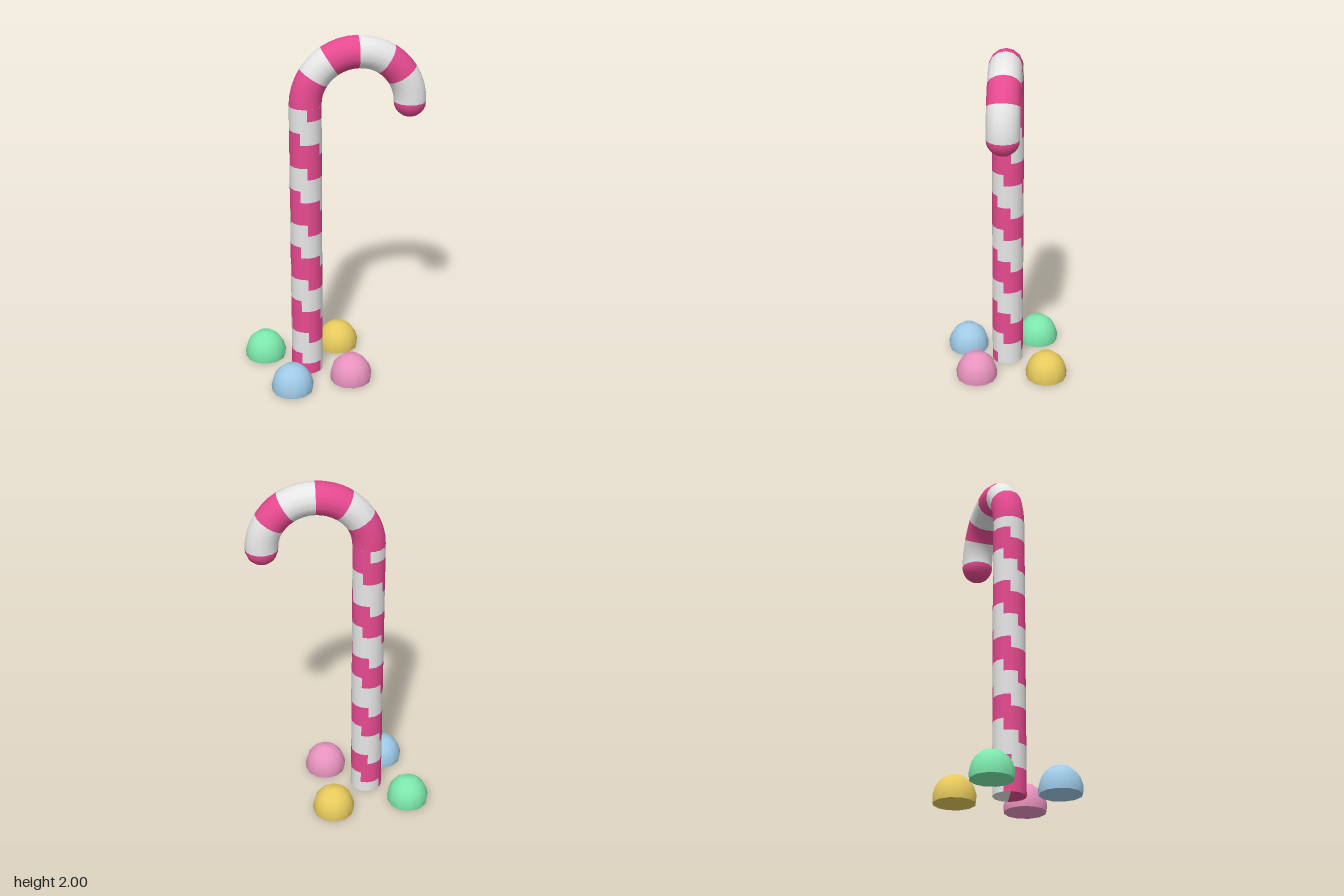
import * as THREE from 'three';

const mat = (name, color) => {
  const m = new THREE.MeshStandardMaterial({ color });
  m.name = name;
  return m;
};

export function createModel() {
  const white = mat('sugar white', 0xf7f7f7);
  const pink = mat('stripe pink', 0xf9519c);
  const root = new THREE.Group();
  root.name = 'candyCane';

  const R = 0.288, r = 0.09, sides = 14;
  const stemX = -0.161, hookX = stemX + R, stemH = 1.622, caneZ = -0.006;

  const add = (name, geo, material, x, y, z, parent = root) => {
    const mesh = new THREE.Mesh(geo, material);
    mesh.name = name;
    mesh.position.set(x, y, z);
    parent.add(mesh);
    return mesh;
  };

  // Stem: each cell of the cylinder takes its colour from a stepped spiral
  const rows = 24, pitch = 0.338;
  const stemGeo = new THREE.CylinderGeometry(r, r, stemH, sides, rows, true);
  const old = stemGeo.index.array;
  const cells = [[], []];
  for (let c = 0; c < sides; c++) {
    for (let j = 0; j < rows; j++) {
      const y = stemH * (1 - (j + 0.5) / rows);
      const phase = y / pitch + (c + 0.5) / sides - 0.71 + 10;
      const list = cells[phase % 1 < 0.5 ? 1 : 0];
      const start = (c * rows + j) * 6;
      for (let k = 0; k < 6; k++) list.push(old[start + k]);
    }
  }
  stemGeo.setIndex([...cells[0], ...cells[1]]);
  stemGeo.clearGroups();
  stemGeo.addGroup(0, cells[0].length, 0);
  stemGeo.addGroup(cells[0].length, cells[1].length, 1);
  add('stem', stemGeo, [white, pink], stemX, stemH / 2, caneZ);

  // Underside of the stem, half of each colour
  [pink, white].forEach((m, i) => {
    const half = new THREE.CircleGeometry(r, sides / 2, 0.244 + i * Math.PI, Math.PI);
    add('stemBase', half.rotateX(Math.PI / 2), m, stemX, 0, caneZ);
  });

  // Hook: alternating ring sections, running from the stem to the tip
  const cuts = [0, 4, 7, 11, 15, 18, 22];
  const step = Math.PI / 22;
  for (let i = 0; i < 6; i++) {
    const n = cuts[i + 1] - cuts[i];
    const geo = new THREE.TorusGeometry(R, r, sides, n, n * step);
    geo.rotateZ(Math.PI - cuts[i + 1] * step);
    add('hookSection', geo, i % 2 ? white : pink, hookX, stemH, caneZ);
  }

  // Rounded tip
  const tip = new THREE.SphereGeometry(r, sides, 6, 0, Math.PI * 2, Math.PI / 2, Math.PI / 2);
  add('hookTip', tip, pink, hookX + R, stemH, caneZ);

  // Gumdrops around the foot
  const profile = [[0.116, 0], [0.12, 0.04], [0.107, 0.086], [0.086, 0.118], [0.05, 0.148], [0, 0.157]]
    .map(([x, y]) => new THREE.Vector2(x, y));
  const domeGeo = new THREE.LatheGeometry(profile, 12);
  const baseGeo = new THREE.CircleGeometry(0.116, 12).rotateX(Math.PI / 2);
  const drops = [
    ['green', 0x80eeb0, -0.39, -0.18],
    ['yellow', 0xf8d964, 0.05, -0.24],
    ['blue', 0xb0dfff, -0.275, 0.235],
    ['rose', 0xffa3d2, 0.071, 0.165],
  ];
  for (const [name, color, x, z] of drops) {
    const m = mat(name + ' gumdrop', color);
    const drop = new THREE.Group();
    drop.name = name + 'Gumdrop';
    drop.position.set(x, 0, z);
    add('dome', domeGeo, m, 0, 0, 0, drop);
    add('underside', baseGeo, m, 0, 0, 0, drop);
    root.add(drop);
  }
  return root;
}
